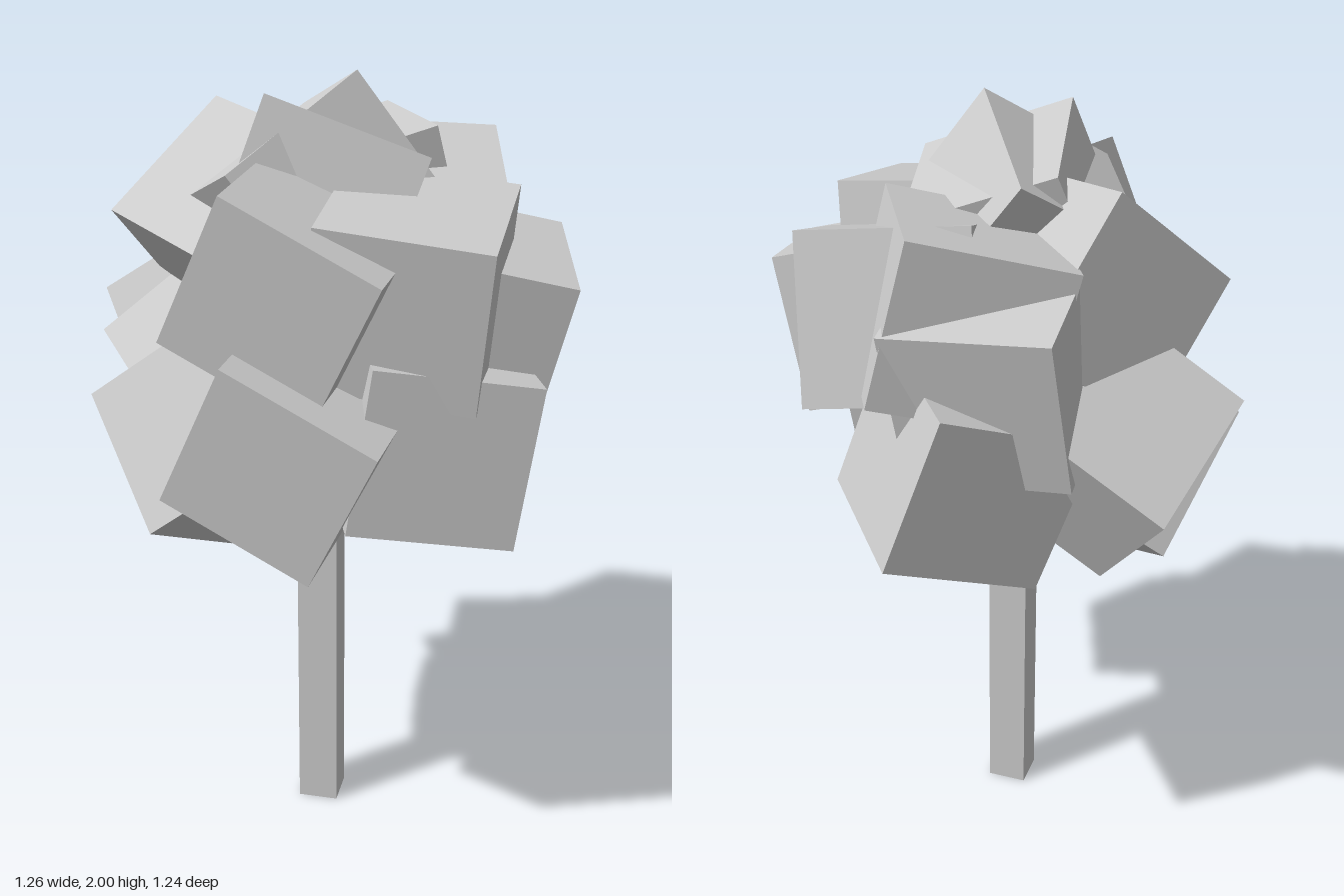
import * as THREE from 'three';

const SIZE = 0.4;

// A cube given by its centre and the rough directions of two of its edges.
function tiltedCube(name, center, edgeA, edgeB, material) {
  const a = new THREE.Vector3(...edgeA).normalize();
  const c = new THREE.Vector3().crossVectors(a, new THREE.Vector3(...edgeB)).normalize();
  const b = new THREE.Vector3().crossVectors(c, a);
  const mesh = new THREE.Mesh(new THREE.BoxGeometry(SIZE, SIZE, SIZE), material);
  mesh.name = name;
  mesh.quaternion.setFromRotationMatrix(new THREE.Matrix4().makeBasis(a, b, c));
  mesh.position.set(...center);
  return mesh;
}

export function createModel() {
  const tree = new THREE.Group();
  tree.name = 'tree';
  const grey = new THREE.MeshStandardMaterial({ color: 0xcccccc, flatShading: true });
  const blue = new THREE.MeshStandardMaterial({ color: 0x13aed8, flatShading: true });

  // Square trunk running up into the crown
  const trunk = new THREE.Mesh(new THREE.BoxGeometry(0.105, 1.2, 0.1), grey);
  trunk.name = 'trunk';
  trunk.position.set(-0.01, 0.6, 0.08);
  tree.add(trunk);

  // Crown of equal cubes: name, centre, two edge directions
  const crown = new THREE.Group();
  crown.name = 'crown';
  const cubes = [
    ['frontUpperLeaves', [-0.005, 1.55, 0.345], [0.365, -0.18, 0.02], [0.19, 0.35, 0.065]],
    ['frontLowerLeaves', [-0.003, 1.177, 0.38], [0.365, -0.18, 0.02], [0.19, 0.35, 0.065]],
    ['frontLeftLeaves', [0.25, 1.537, 0.27], [0.4, -0.04, 0], [0, -0.07, 0.4]],
    ['upperRightLeaves', [-0.22, 1.58, -0.03], [0.215, 0.255, -0.22], [0.305, -0.05, 0.255]],
    ['lowerRightLeaves', [-0.245, 1.09, 0.157], [0.525, -0.675, 0.505], [0.30, -0.50, -0.81]],
    ['rightLeaves', [-0.3125, 1.262, -0.1475], [0.1, -0.175, -0.345], [0.335, 0.22, -0.01]],
    ['lowerBackRightLeaves', [-0.275, 1.205, -0.03], [0.11, -0.28, -0.266], [0.25, -0.15, 0.27]],
    ['leftLeaves', [0.355, 1.43, 0.1], [-0.075, 0.06, -0.39], [-0.09, -0.385, -0.02]],
    ['lowerLeftLeaves', [0.295, 1.17, 0.25], [-0.055, -0.4, 0.03], [-0.375, 0.06, 0.13]],
    ['upperBackLeftLeaves', [0.178, 1.555, -0.21], [-0.085, 0.12, -0.37], [-0.05, -0.385, -0.11]],
    ['lowerBackLeaves', [-0.01, 1.23, -0.31], [-0.29, -0.135, 0.25], [-0.13, 0.375, 0.06]],
    ['bottomLeaves', [0.08, 1.163, 0.04], [0.04, 0.235, -0.315], [0.25, 0.26, 0.2]],
    ['upperBackLeaves', [0.02, 1.59, -0.23], [0.19, 0, 0.35], [-0.33, -0.1, 0.19]],
    ['backLeaves', [-0.09, 1.48, -0.265], [0.4, -0.03, -0.01], [0.06, -0.38, 0.08]],
    ['topLeaves', [-0.005, 1.67, 0.12], [0.38, -0.14, -0.05], [-0.08, -0.08, -0.38]],
    ['peakLeaves', [-0.01, 1.675, 0.1], [-0.2, -0.13, -0.32], [0.24, -0.315, -0.02]],
  ];
  for (const [name, center, a, b] of cubes) crown.add(tiltedCube(name, center, a, b, grey));

  // Coloured cube in the heart of the crown
  crown.add(tiltedCube('crownCore', [0.003, 1.133, 0.084], [0.21, 0.12, 0.33], [0.21, 0.265, -0.235], blue));
  tree.add(crown);
  return tree;
}
